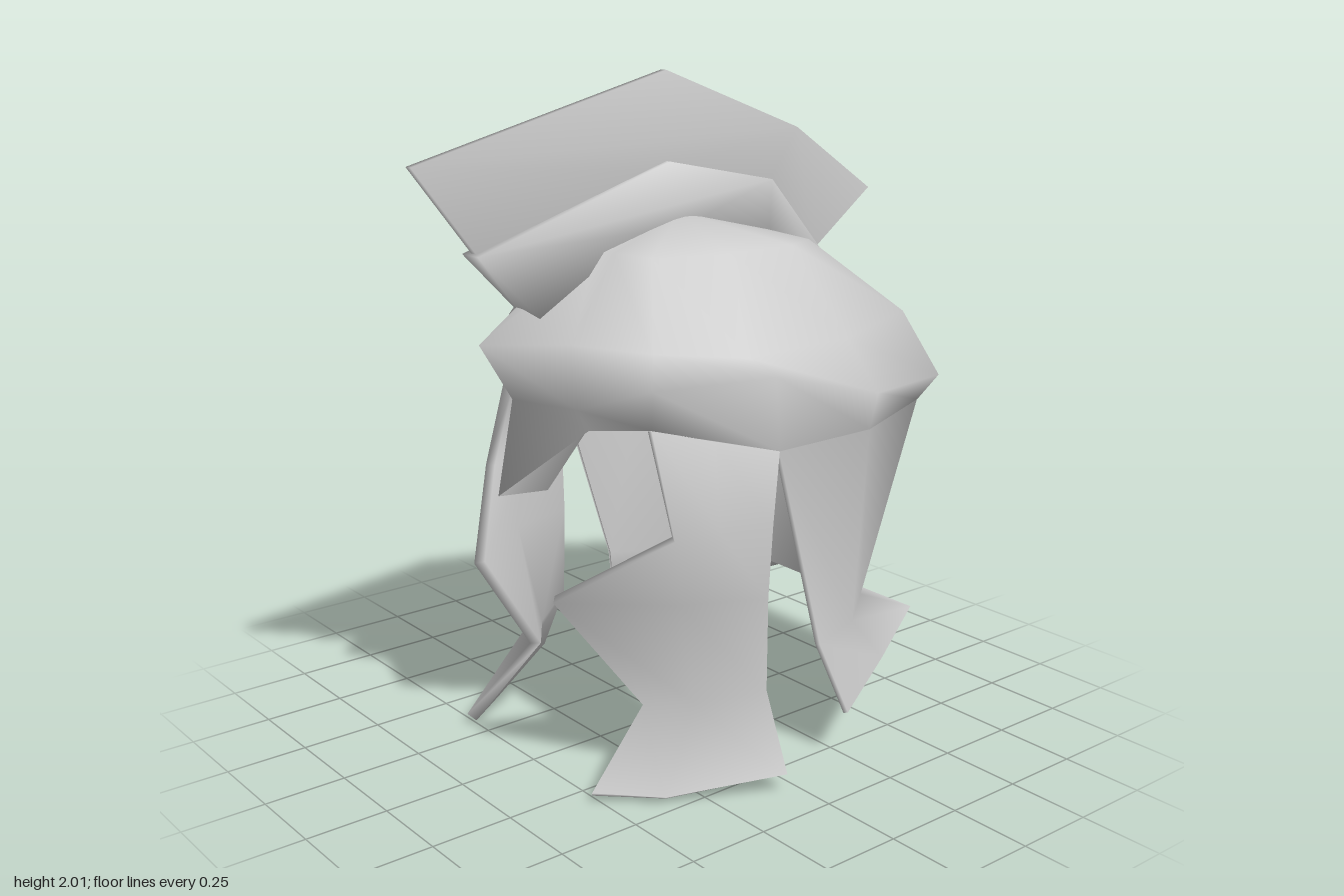
import * as THREE from 'three';
import { mergeVertices } from 'three/addons/utils/BufferGeometryUtils.js';

const material = new THREE.MeshStandardMaterial({ color: 0xcccccc, side: THREE.DoubleSide });
const flip = ([x, y, z]) => [-x, y, z];

// Named mesh with welded corners and smooth normals throughout.
function smoothMesh(name, geometry) {
  geometry.deleteAttribute('normal');
  geometry.deleteAttribute('uv');
  const welded = mergeVertices(geometry, 1e-4);
  welded.computeVertexNormals();
  const mesh = new THREE.Mesh(welded, material);
  mesh.name = name;
  return mesh;
}

// Thick sheet through rows of points (top to bottom, left to right seen from outside).
function shell(name, rows, thickness, closed, adjustInner) {
  const n = rows[0].length, m = rows.length, count = n * m;
  const outer = rows.flat(2);
  const at = (i, j) => i * n + (j % n);
  const faces = [];
  for (let i = 0; i < m - 1; i++) {
    for (let j = 0; j < (closed ? n : n - 1); j++) {
      const a = at(i, j), b = at(i, j + 1), c = at(i + 1, j + 1), d = at(i + 1, j);
      faces.push([a, d, c]);
      if (!(closed && i === 0)) faces.push([a, c, b]); // the first closed row is a pole
    }
  }
  const skin = new THREE.BufferGeometry();
  skin.setAttribute('position', new THREE.Float32BufferAttribute(outer, 3));
  skin.setIndex(faces.flat());
  skin.computeVertexNormals();
  const normals = skin.attributes.normal.array;
  const inner = outer.map((v, k) => v - normals[k] * thickness);
  if (adjustInner) adjustInner(inner, at);

  // Rim joins the outer and inner skins around the open edges.
  const edge = [];
  for (let j = 0; j < (closed ? n : n - 1); j++) {
    edge.push([at(m - 1, j), at(m - 1, j + 1)]);
    if (!closed) edge.push([at(0, j + 1), at(0, j)]);
  }
  if (!closed) for (let i = 0; i < m - 1; i++) {
    edge.push([at(i, 0), at(i + 1, 0)], [at(i + 1, n - 1), at(i, n - 1)]);
  }
  const index = [
    ...faces.flat(),
    ...faces.flatMap(([a, b, c]) => [a + count, c + count, b + count]),
    ...edge.flatMap(([a, b]) => [a, a + count, b + count, a, b + count, b]),
  ];
  const geometry = new THREE.BufferGeometry();
  geometry.setAttribute('position', new THREE.Float32BufferAttribute([...outer, ...inner], 3));
  geometry.setIndex(index);
  return smoothMesh(name, geometry);
}

// Upright plate on the centre line: outline of [z, y] and a half-width that may vary with height.
function plate(name, outline, halfWidth) {
  const shape = new THREE.Shape(outline.map(([z, y]) => new THREE.Vector2(z, y)));
  const geometry = new THREE.ExtrudeGeometry(shape, { depth: 2, bevelEnabled: false });
  geometry.translate(0, 0, -1).rotateY(-Math.PI / 2);
  const p = geometry.attributes.position;
  for (let i = 0; i < p.count; i++) p.setX(i, p.getX(i) * halfWidth(p.getY(i)));
  return smoothMesh(name, geometry);
}

export function createModel() {
  const group = new THREE.Group();
  group.name = 'helmet';

  // Dome with brow and nose point: half rings from front centre to back centre.
  const domeHalf = [
    Array(7).fill([0, 1.585, -0.06]),
    [[0, 1.5, 0.25], [0.09, 1.505, 0.25], [0.22, 1.505, 0.22], [0.32, 1.51, 0.02],
      [0.32, 1.51, -0.22], [0.22, 1.5, -0.38], [0, 1.51, -0.38]],
    [[0, 1.28, 0.65], [0.16, 1.28, 0.45], [0.35, 1.27, 0.32], [0.46, 1.24, 0.06],
      [0.475, 1.25, -0.3], [0.36, 1.27, -0.65], [0, 1.28, -0.65]],
    [[0, 1.11, 0.545], [0.15, 1.09, 0.43], [0.37, 1.17, 0.335], [0.545, 1.2, 0.04],
      [0.565, 1.1, -0.34], [0.41, 1.06, -0.77], [0, 1.06, -0.77]],
    [[0, 0.835, 0.6], [0.11, 1.01, 0.36], [0.365, 1.06, 0.335], [0.54, 0.985, 0.02],
      [0.535, 0.985, -0.34], [0.38, 0.985, -0.71], [0, 0.985, -0.71]],
  ];
  const domeRows = domeHalf.map((r) => [...r, ...r.slice(1, -1).reverse().map(flip)]);
  group.add(shell('dome', domeRows, 0.025, true, (inner, at) => {
    inner.splice(at(4, 0) * 3, 3, 0, 0.82, 0.43); // solid nose point
  }));

  // Neck guard, flared at the bottom; the flare reaches a little further on the right.
  const neckHalf = [
    [[0.535, 0.99, 0.02], [0.535, 0.99, -0.34], [0.38, 0.99, -0.71], [0, 0.99, -0.71]],
    [[0.52, 0.35, -0.175], [0.43, 0.34, -0.4], [0.27, 0.33, -0.6], [0, 0.33, -0.6]],
    [[0.58, 0.135, -0.24], [0.43, 0.18, -0.54], [0.265, 0.225, -0.845], [0, 0.225, -0.845]],
  ];
  const neckRows = neckHalf.map((r) => [...r, ...r.slice(0, -1).reverse().map(flip)]);
  neckRows[2].splice(4, 2, [-0.335, 0.225, -0.845], [-0.41, 0.195, -0.68]);
  group.add(shell('neckGuard', neckRows, 0.015));

  // Cheek guards, hanging from the brow: rows from front edge to back edge.
  const cheek = [
    [[0.365, 1.06, 0.335], [0.455, 1.022, 0.18], [0.54, 0.985, 0.02]],
    [[0.472, 0.77, 0.34], [0.505, 0.77, 0.2], [0.535, 0.77, 0.035]],
    [[0.205, 0.565, 0.56], [0.43, 0.56, 0.29], [0.525, 0.55, 0.04]],
    [[0.29, 0.215, 0.31], [0.41, 0.24, 0.22], [0.53, 0.27, 0.045]],
    [[0.33, 0.02, 0.525], [0.46, 0.005, 0.36], [0.635, 0.05, 0.055]],
  ];
  group.add(shell('leftCheekGuard', cheek, 0.035));
  group.add(shell('rightCheekGuard', cheek.map((r) => r.map(flip).reverse()), 0.035));

  // Crest holder, tapering upwards, and the thin crest above it.
  group.add(plate('crestHolder', [
    [0.67, 1.53], [0, 1.74], [-0.4, 1.66], [-0.615, 1.41], [-0.615, 1.3],
    [-0.38, 1.46], [-0.06, 1.55], [0.24, 1.46], [0.47, 1.33],
  ], (y) => 0.05 - (y - 1.33) * 0.05));
  group.add(plate('crest', [
    [0.85, 1.78], [0, 2], [-0.52, 1.81], [-0.84, 1.6], [-0.6, 1.42],
    [-0.39, 1.63], [0, 1.71], [0.655, 1.53],
  ], () => 0.0125));

  return group;
}
